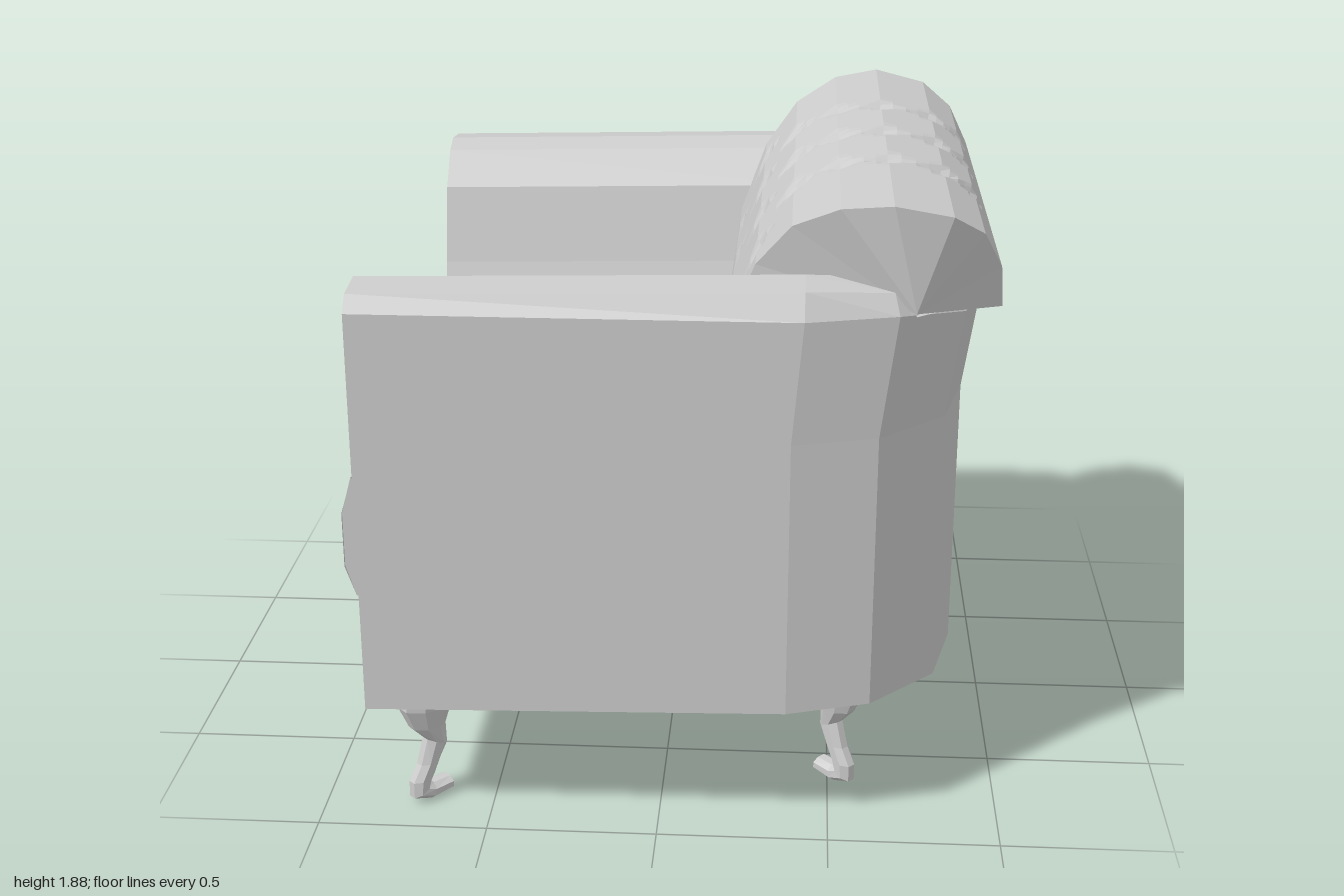
import * as THREE from 'three';

const material = new THREE.MeshStandardMaterial({
  color: 0xcccccc, flatShading: true, side: THREE.DoubleSide,
});

function addMesh(parent, name, geometry) {
  const flat = geometry.index ? geometry.toNonIndexed() : geometry;
  flat.computeVertexNormals();
  const mesh = new THREE.Mesh(flat, material);
  mesh.name = name;
  parent.add(mesh);
  return mesh;
}

// Skin a list of equal-length rows of [x, y, z] points
function loft(rows, closed = false) {
  const n = rows[0].length;
  const index = [];
  for (let i = 0; i < rows.length - 1; i++) {
    for (let j = 0; j < (closed ? n : n - 1); j++) {
      const k = (j + 1) % n;
      const a = i * n + j, b = i * n + k, c = a + n, d = b + n;
      if (closed) {
        const e = (i + 1) * n + k;
        index.push(a, b, c, b, e, c);
      } else index.push(a, b, c, b, d, c);
    }
  }
  const g = new THREE.BufferGeometry();
  g.setAttribute('position', new THREE.Float32BufferAttribute(rows.flat(2), 3));
  g.setIndex(index);
  return g;
}

// Diamond-shaped dent around a button
const dent = (du, dv, r) => Math.max(0, 1 - (Math.abs(du) + Math.abs(dv)) / r);

// Wall section: distance inward from the outer face, height
const wallSection = [[0, 1.23], [0, 1.58], [0.04, 1.625], [0.16, 1.638], [0.23, 1.61],
  [0.32, 1.5], [0.38, 1.25], [0.46, 1.0]];

// Plan stations: outer x, outer z, inward direction x and z, flare at the top, rise of the top
const stations = [
  [-0.84, 1, 0, -1, 0, 0],
  [0.37, 1, 0, -1, 0.03, 0.028],
  [0.61, 0.93, -0.35, -0.94, 0.045, 0.01],
  [0.8, 0.74, -0.8, -0.6, 0.045, -0.04],
  [0.86, 0.48, -1, 0, 0.045, -0.05],
];

function wallRow([x, z, dx, dz, flare, rise], side) {
  const yb = 0.385 + 0.02 * (x + 0.84);
  const row = [[x, yb, 0], [x, yb, z * side]];
  wallSection.forEach(([d, y], i) => {
    const f = i > 0 ? flare : 0;
    const lift = i === 0 ? 0 : i === 1 ? Math.min(0, rise) : rise;
    row.push([x + f + dx * d, y + lift, (z + dz * d) * side]);
  });
  return row;
}

function buildBody(group) {
  const rows = stations.map((s) => wallRow(s, 1));
  const mirrored = stations.map((s) => wallRow(s, -1)).reverse();
  addMesh(group, 'armsAndBackShell', loft([...rows, ...mirrored]));

  // Flat front closing both arms and the seat base
  const half = rows[0].slice(1).map((p) => [p[2], p[1]]);
  const outline = [...half, ...half.map(([z, y]) => [-z, y]).reverse()];
  const shape = new THREE.Shape(outline.map(([z, y]) => new THREE.Vector2(z, y)));
  const panel = new THREE.ShapeGeometry(shape);
  panel.rotateY(-Math.PI / 2).translate(-0.84, 0, 0);
  addMesh(group, 'frontPanel', panel);
}

function buildSeat(group) {
  // Padded front edge with slightly tapered ends
  const profile = [[-0.8, 0.59, 0.68], [-0.92, 0.59, 0.68], [-0.95, 0.69, 0.69],
    [-0.95, 0.86, 0.69], [-0.92, 0.97, 0.67], [-0.8, 0.97, 0.67]];
  const ends = [-1, 1].map((s) => profile.map(([x, y, z]) => [x, y, z * s]));
  addMesh(group, 'seatFrontRoll', loft(ends, true));
  for (const s of [-1, 1]) {
    const cap = new THREE.ShapeGeometry(new THREE.Shape(profile.map(([x, y]) => new THREE.Vector2(x, y))));
    cap.translate(0, 0, 0.68 * s);
    addMesh(group, s > 0 ? 'seatRollEndLeft' : 'seatRollEndRight', cap);
  }

  // Buttoned seat surface, rising along the arms
  const sx = 0.2167 / 6, sz = 0.22 / 6;
  const rows = [];
  for (let i = -4; i <= 24; i++) {
    const row = [];
    for (let j = -16; j <= 16; j++) {
      const x = -0.7 + i * sx, z = j * sz;
      let y = 0.965 + 0.07 * THREE.MathUtils.clamp((Math.abs(z) - 0.44) / 0.12, 0, 1);
      for (let a = 0; a < 4; a++) {
        for (let b = -2; b <= 2; b++) {
          y -= 0.03 * dent(x + 0.7 - a * 0.2167, z - b * 0.22, 0.075);
        }
      }
      if (Math.abs(z) < 0.44) y += 0.008 * Math.abs(Math.sin(z / 0.22 * Math.PI));
      row.push([x, y, z]);
    }
    rows.push(row);
  }
  addMesh(group, 'seatCushion', loft(rows));
}

function buildBackrest(group) {
  // Profile from the seat up over the roll: x, y, half width
  const profile = [[0.11, 0.93, 0.56], [0.145, 1.2, 0.63], [0.18, 1.45, 0.68], [0.26, 1.66, 0.73],
    [0.36, 1.79, 0.8], [0.49, 1.86, 0.88], [0.63, 1.88, 0.92], [0.79, 1.845, 0.89],
    [0.88, 1.78, 0.81], [0.935, 1.67, 0.745], [0.945, 1.48, 0.72], [0.7, 1.57, 0.9]];
  const steps = 4, columns = 60, last = profile.length - 2;
  const rows = [];
  for (let i = 0; i <= (profile.length - 1) * steps; i++) {
    const k = Math.min(Math.floor(i / steps), profile.length - 2);
    const f = i / steps - k;
    const [x, y, w] = profile[k].map((v, c) => v + (profile[k + 1][c] - v) * f);
    const sag = k === last - 1 ? f : k === last ? 1 - f : 0;
    const row = [];
    for (let j = 0; j <= columns; j++) {
      const z = w * (j / columns * 2 - 1);
      // Buttons: full rows at each profile point, offset ones between on the front
      let d = 0;
      for (let b = 1; b < last - 1; b++) {
        const shift = b < 4 && b % 2 ? 0.18 : 0;
        for (let c = -2; c <= 2; c++) {
          const bz = c * 0.36 + shift;
          if (Math.abs(bz) > 0.6) continue;
          const [bx, by] = profile[b];
          d += 0.025 * dent(Math.hypot(x - bx, y - by), z - bz, 0.075);
        }
      }
      const inward = new THREE.Vector2(0.6 - x, 1.4 - y).normalize().multiplyScalar(d);
      row.push([x + inward.x, y + inward.y + sag * 0.07 * (z / 0.72) ** 2, z]);
    }
    rows.push(row);
  }
  addMesh(group, 'backrestRoll', loft(rows));

  // Fan-shaped ends of the roll
  for (const s of [-1, 1]) {
    const rim = rows.slice(2 * steps, last * steps + 1)
      .filter((_, i) => i % steps === 0)
      .map((r) => r[s > 0 ? columns : 0]);
    const hub = rim.map(() => [0.7, 1.58, 0.905 * s]);
    addMesh(group, s > 0 ? 'rollEndLeft' : 'rollEndRight', loft(s > 0 ? [rim, hub] : [hub, rim]));
  }
}

// Curved leg: outer point, inner point and half width of each section
function legGeometry() {
  const sections = [
    [0.07, 0.42, -0.09, 0.42, 0.06], [0.08, 0.32, -0.08, 0.3, 0.055],
    [0.05, 0.25, -0.06, 0.24, 0.042], [0.005, 0.2, -0.065, 0.17, 0.032],
    [0.03, 0.12, -0.04, 0.13, 0.032], [0.06, 0.07, -0.015, 0.08, 0.032],
    [0.06, 0.02, 0, 0.055, 0.032], [0, 0, -0.01, 0.05, 0.035],
    [-0.07, 0.01, -0.07, 0.05, 0.035], [-0.07, 0.03, -0.07, 0.03, 0],
  ];
  const sides = 8;
  const rows = sections.map(([u1, y1, u2, y2, w]) => Array.from({ length: sides }, (_, i) => {
    const a = (i + 0.5) / sides * Math.PI * 2;
    const c = Math.cos(a) / Math.cos(Math.PI / sides);
    return [(u1 + u2) / 2 + c * (u1 - u2) / 2, (y1 + y2) / 2 + c * (y1 - y2) / 2, w * Math.sin(a)];
  }));
  return loft(rows, true);
}

function buildLegs(group) {
  for (const [name, x, z] of [['seatSideLeg', -0.7, 0.83], ['backSideLeg', 0.53, 0.65]]) {
    for (const s of [-1, 1]) {
      const leg = addMesh(group, name + (s > 0 ? 'A' : 'B'), legGeometry());
      leg.position.set(x, 0, z * s);
      leg.rotation.y = Math.atan2(-s, Math.sign(x)); // knee points out to the corner
    }
  }
}

export function createModel() {
  const group = new THREE.Group();
  group.name = 'armchair';
  buildBody(group);
  buildSeat(group);
  buildBackrest(group);
  buildLegs(group);
  return group;
}
